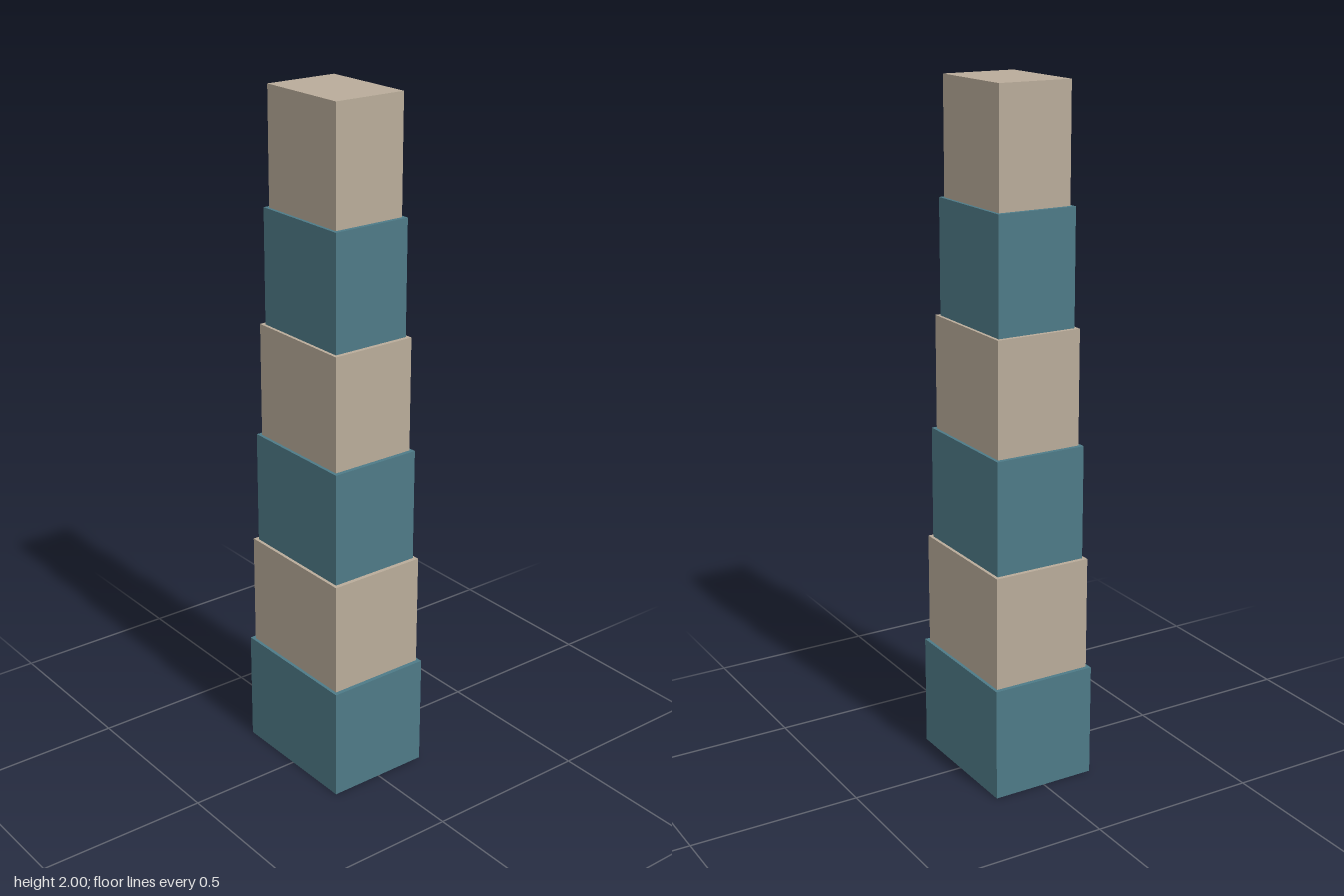
import * as THREE from 'three';

export function createModel() {
  const model = new THREE.Group();
  model.name = 'steppedTower';

  const teal = new THREE.MeshStandardMaterial({ color: 0x4e7a87 });
  const tan = new THREE.MeshStandardMaterial({ color: 0xb9ac9a });

  const count = 6;
  const height = 2 / count;
  const baseWidth = 0.316;
  const baseDepth = 0.42;

  // Stacked blocks, each narrower than the one below, in alternating colors
  for (let i = 0; i < count; i++) {
    const scale = 1 - 0.06 * i;
    const block = new THREE.Mesh(
      new THREE.BoxGeometry(baseWidth * scale, height, baseDepth * scale),
      i % 2 === 0 ? teal : tan
    );
    block.name = `towerBlock${i + 1}`;
    block.position.y = height * (i + 0.5);
    model.add(block);
  }

  return model;
}
